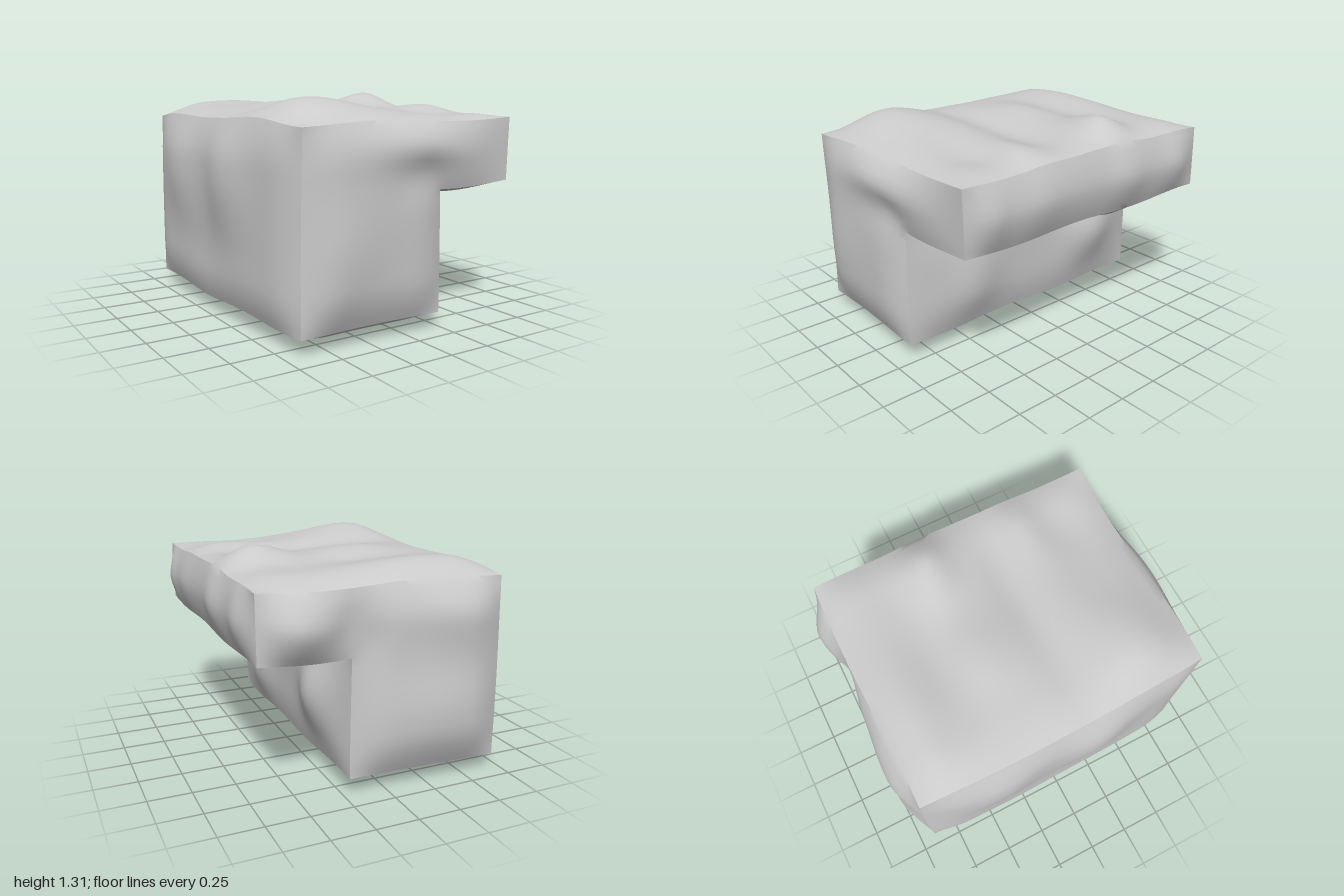
import * as THREE from 'three';
import { mergeVertices, toCreasedNormals } from 'three/addons/utils/BufferGeometryUtils.js';

// Corner lines of the L-shaped section and the half length of the block
const X0 = -0.67, X1 = 0.22, X2 = 0.74, Y0 = 0.1, Y1 = 0.8, Y2 = 1.17, Z = 0.89;

const span = (a, b, n) => Array.from({ length: n }, (_, i) => a + (b - a) * i / n);
const xs = [...span(X0, X1, 18), ...span(X1, X2, 12), X2];
const ys = [...span(Y0, Y1, 14), ...span(Y1, Y2, 9), Y2];
const zs = [...span(-Z, Z, 36), Z];
const xBody = xs.slice(0, 19), xArm = xs.slice(18);
const yLow = ys.slice(0, 15), yHigh = ys.slice(14);

// Rises from a face's border, then levels off
const rise = d => 1 - (1 - Math.min(Math.max(d, 0) / 0.23, 1)) ** 2;
const inside = (u, a, b) => rise(Math.min(u - a, b - u));
const pad = (u, v, a, b, c, d) => inside(u, a, b) * inside(v, c, d);

// Sum of soft lumps: [u, v, height, radiusU, radiusV]
const lumps = (list, u, v) => list.reduce((s, [a, b, h, ru, rv]) =>
  s + h * Math.exp(-(((u - a) / ru) ** 2) - ((v - b) / rv) ** 2), 0);

// Top and base lumps are placed by x and z, flank lumps by y and z, end lumps by x and y
const topLumps = [
  [-0.42, 0.56, 0.07, 0.32, 0.22], [0.53, -0.25, 0.095, 0.26, 0.15], [0.1, 0.15, -0.045, 0.7, 0.13],
  [-0.1, -0.2, 0.03, 0.25, 0.15], [-0.35, -0.72, 0.025, 0.4, 0.14], [-0.05, -0.44, -0.02, 0.3, 0.12],
  [0.5, 0.38, 0.025, 0.22, 0.1], [0.45, 0.62, -0.02, 0.22, 0.14]];
const baseLumps = [[-0.42, 0.45, 0.036, 0.25, 0.25], [-0.4, -0.7, 0.015, 0.3, 0.2], [0.1, -0.4, -0.02, 0.2, 0.3]];
const leftLumps = [[0.85, -0.42, 0.045, 0.28, 0.25], [0.85, 0.2, 0.05, 0.28, 0.22], [0.4, 0, -0.01, 0.2, 0.4]];
const armLumps = [[1, -0.68, 0.02, 0.3, 0.12], [1, -0.25, 0.028, 0.3, 0.14], [1, 0.4, 0.015, 0.3, 0.15],
  [1, 0.76, 0.025, 0.3, 0.1]];
const wallLumps = [[0.48, -0.5, 0.08, 0.2, 0.2], [0.4, 0.45, 0.045, 0.25, 0.2]];
const underLumps = [[0.53, -0.32, 0.06, 0.2, 0.18], [0.5, 0.4, 0.01, 0.2, 0.2]];
const frontLumps = [[0.02, 1.1, 0.06, 0.3, 0.15], [-0.45, 0.5, 0.03, 0.25, 0.3], [0.08, 0.88, -0.02, 0.2, 0.12],
  [0.7, 1, -0.04, 0.3, 0.4]];
const backLumps = [[-0.25, 0.45, 0.05, 0.35, 0.25], [-0.38, 1, 0.045, 0.28, 0.25], [0.22, 0.95, -0.055, 0.14, 0.3],
  [0.56, 1, 0.04, 0.18, 0.3]];

// Slow waver of the edges, with the top and left edges swelling at mid-length
function waver([x, y, z]) {
  const swell = 1 - (z / Z) ** 2;
  const left = Math.max(0, -x) / -X0;
  const high = Math.max(0, y - Y1) / (Y2 - Y1);
  return [
    x - left * (0.04 * swell + 0.03 * Math.max(0, -z)),
    y + 0.014 * Math.sin(5.5 * x + 2.6) * Math.sin(2 * y) + 0.008 * Math.sin(7 * z + x)
      + high * (0.02 * swell + 0.4 * lumps(topLumps, x, z)),
    z + 0.01 * Math.sin(4 * x + 3 * y)];
}

export function createModel() {
  const positions = [], index = [];

  // One face of the block, as a grid pushed along its axis; u cross v points along +axis
  function face(axis, sign, level, us, vs, height, skip = () => false) {
    const start = positions.length / 3, n = vs.length;
    for (const u of us) for (const v of vs) {
      const p = [0, 0, 0];
      p[axis] = level;
      p[(axis + 1) % 3] = u;
      p[(axis + 2) % 3] = v;
      const q = waver(p);
      q[axis] += sign * height(u, v);
      positions.push(...q);
    }
    for (let i = 0; i < us.length - 1; i++) for (let j = 0; j < n - 1; j++) {
      if (skip((us[i] + us[i + 1]) / 2, (vs[j] + vs[j + 1]) / 2)) continue;
      const a = start + i * n + j, b = a + n, c = b + 1, d = a + 1;
      if (sign > 0) index.push(a, b, c, a, c, d);
      else index.push(a, c, b, a, d, c);
    }
  }

  // Long sides: left flank, arm end, wall under the arm
  face(0, -1, X0, ys, zs, (y, z) => pad(y, z, Y0, Y2, -Z, Z) * (0.045 + lumps(leftLumps, y, z)));
  face(0, 1, X2, yHigh, zs, (y, z) => pad(y, z, Y1, Y2, -Z, Z) * (0.045 + lumps(armLumps, y, z)));
  face(0, 1, X1, yLow, zs, (y, z) => pad(y, z, Y0, Y1, -Z, Z) * (0.03 + lumps(wallLumps, y, z)));

  // Top, base and underside of the arm
  face(1, 1, Y2, zs, xs, (z, x) => pad(x, z, X0, X2, -Z, Z) * (0.045 + 0.6 * lumps(topLumps, x, z)));
  face(1, -1, Y0, zs, xBody, (z, x) => pad(x, z, X0, X1, -Z, Z) * (0.065 + lumps(baseLumps, x, z)));
  face(1, -1, Y1, zs, xArm, (z, x) => pad(x, z, X1, X2, -Z, Z) * (0.035 + lumps(underLumps, x, z)));

  // L-shaped ends
  const ell = (x, y) => Math.max(pad(x, y, X0, X1, Y0, Y2), pad(x, y, X0, X2, Y1, Y2));
  const notch = (x, y) => x > X1 && y < Y1;
  face(2, 1, Z, xs, ys, (x, y) => ell(x, y) * (0.05 + lumps(frontLumps, x, y)), notch);
  face(2, -1, -Z, xs, ys, (x, y) => ell(x, y) * (0.06 + lumps(backLumps, x, y)), notch);

  const geo = new THREE.BufferGeometry();
  geo.setAttribute('position', new THREE.Float32BufferAttribute(positions, 3));
  geo.setIndex(index);

  const block = new THREE.Mesh(
    toCreasedNormals(mergeVertices(geo, 1e-4), 0.6),
    new THREE.MeshStandardMaterial({ color: 0xcccccc }));
  block.name = 'overhangingRockBlock';
  const group = new THREE.Group();
  group.name = 'rock';
  group.add(block);
  return group;
}
